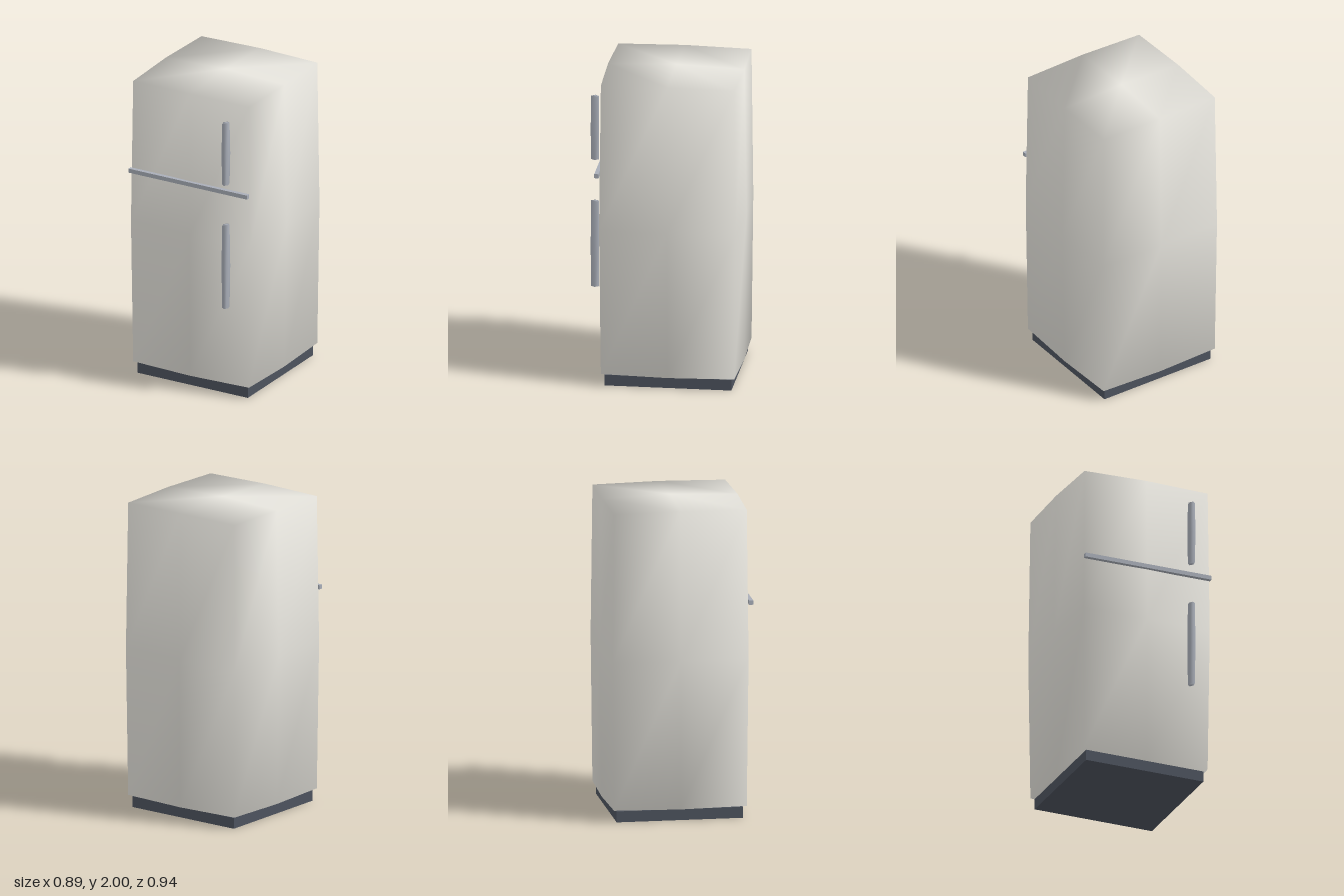
import * as THREE from 'three';
import { mergeVertices } from 'three/addons/utils/BufferGeometryUtils.js';

// Box with two segments per side whose faces swell outwards, smooth all over.
// Each axis gives its half size at [corner, edge middle, face centre].
function swollenBox(xs, ys, zs) {
  const box = new THREE.BoxGeometry(2, 2, 2, 2, 2, 2);
  box.deleteAttribute('uv');
  box.deleteAttribute('normal');
  const geometry = mergeVertices(box);
  const p = geometry.attributes.position;
  for (let i = 0; i < p.count; i++) {
    const v = [p.getX(i), p.getY(i), p.getZ(i)].map(Math.round);
    const centred = v.filter((c) => c === 0).length;
    p.setXYZ(i, v[0] * xs[centred], v[1] * ys[centred], v[2] * zs[centred]);
  }
  geometry.computeVertexNormals();
  return geometry;
}

export function createModel() {
  const group = new THREE.Group();
  const enamel = new THREE.MeshStandardMaterial({ color: 0xe8e6df });
  const metal = new THREE.MeshStandardMaterial({ color: 0xa9aeb8 });
  const dark = new THREE.MeshStandardMaterial({ color: 0x4d535e });

  function add(name, geometry, material, x, y, z) {
    const mesh = new THREE.Mesh(geometry, material);
    mesh.name = name;
    mesh.position.set(x, y, z);
    group.add(mesh);
  }

  // Plinth and cabinet
  add('base', new THREE.BoxGeometry(0.8, 0.07, 0.8), dark, 0, 0.035, -0.03);
  add('cabinet', swollenBox([0.42, 0.43, 0.445], [0.95, 0.955, 0.97], [0.42, 0.43, 0.443]),
    enamel, 0, 1.03, -0.03);

  // Strip between the freezer and fridge doors
  add('doorDivider', new THREE.BoxGeometry(0.86, 0.027, 0.027), metal, 0, 1.385, 0.417);

  // Door handles
  for (const [name, bottom, top] of [['freezerHandle', 1.445, 1.87], ['fridgeHandle', 0.61, 1.18]]) {
    const h = (top - bottom) / 2;
    add(name, swollenBox([0.0145, 0.0175, 0.02], [h - 0.008, h - 0.003, h], [0.021, 0.0245, 0.0265]),
      metal, 0.285, (top + bottom) / 2, 0.445);
  }
  return group;
}
